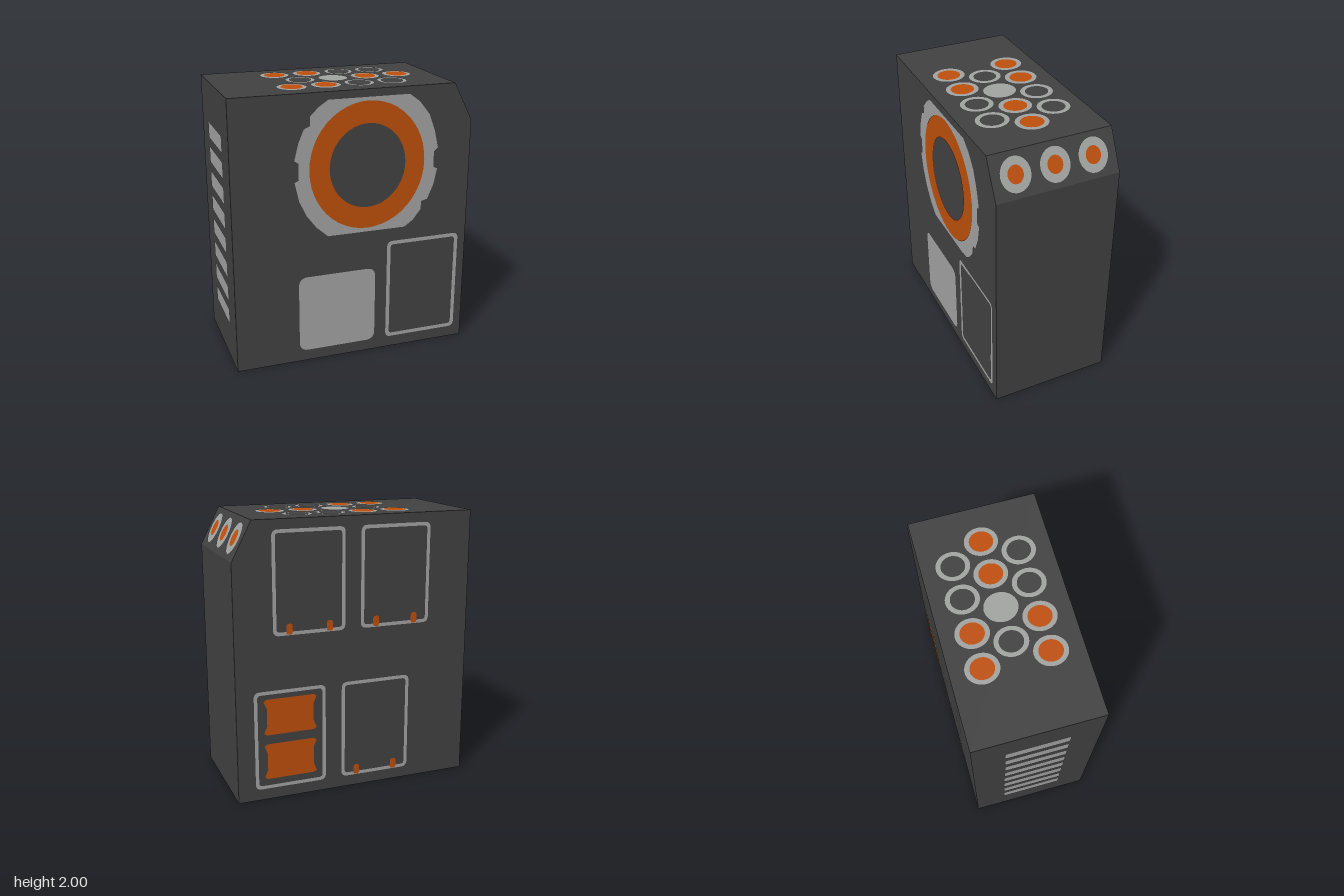
import * as THREE from 'three';

const W = 0.887, H = 2, D = 0.445;
const LIFT = 0.003; // height of painted details above the casing

const mat = (name, color) => {
  const m = new THREE.MeshStandardMaterial({ color });
  m.name = name;
  return m;
};

const poly = (pts) => new THREE.Shape(pts.map(([x, y]) => new THREE.Vector2(x, y)));

function oval(x, y, rx, ry, hole) {
  const s = new THREE.Shape().absellipse(x, y, rx, ry, 0, Math.PI * 2, false);
  if (hole) s.holes.push(new THREE.Path().absellipse(x, y, hole[0], hole[1], 0, Math.PI * 2, true));
  return s;
}

function roundRect(x0, y0, x1, y1, r) {
  const s = new THREE.Shape();
  s.moveTo(x0 + r, y0).lineTo(x1 - r, y0).quadraticCurveTo(x1, y0, x1, y0 + r);
  s.lineTo(x1, y1 - r).quadraticCurveTo(x1, y1, x1 - r, y1);
  s.lineTo(x0 + r, y1).quadraticCurveTo(x0, y1, x0, y1 - r);
  s.lineTo(x0, y0 + r).quadraticCurveTo(x0, y0, x0 + r, y0);
  return s;
}

function frame(x0, y0, x1, y1, t) {
  const s = roundRect(x0, y0, x1, y1, 0.045);
  s.holes.push(roundRect(x0 + t, y0 + t, x1 - t, y1 - t, 0.025));
  return s;
}

export function createModel() {
  const root = new THREE.Group();
  root.name = 'deviceCase';
  const dark = mat('charcoal', 0x424242);
  const gray = mat('lightGray', 0xa3a5a3);
  const orange = mat('burntOrange', 0xc0500c);

  // One group per casing face; local x and y lie in the face, local z points out
  const face = (name, pos, rot) => {
    const g = new THREE.Group();
    g.name = name;
    g.position.set(...pos);
    g.rotation.set(rot[0], rot[1], 0, 'YXZ');
    root.add(g);
    return g;
  };
  const paint = (parent, name, shape, material, lift = LIFT) => {
    const m = new THREE.Mesh(new THREE.ShapeGeometry(shape, 24), material);
    m.name = name;
    m.position.z = lift;
    parent.add(m);
  };

  // Casing with one cut corner
  const outline = poly([[-W, 0], [W, 0], [W, 1.725], [0.745, H], [-W, H]]);
  const caseGeo = new THREE.ExtrudeGeometry(outline, { depth: 2 * D, bevelEnabled: false });
  caseGeo.translate(0, 0, -D);
  const body = new THREE.Mesh(caseGeo, dark);
  body.name = 'casing';
  root.add(body);

  // Front: dial with notched bezel, screen and empty panel frame
  const front = face('frontFace', [0, 0, D], [0, 0]);
  const bezel = poly([
    [-0.195, 1.945], [-0.265, 1.9], [-0.325, 1.84], [-0.325, 1.775], [-0.37, 1.755],
    [-0.41, 1.66], [-0.44, 1.54], [-0.41, 1.52], [-0.41, 1.4], [-0.44, 1.385],
    [-0.41, 1.25], [-0.36, 1.14], [-0.285, 1.04], [-0.2, 0.965], [0.385, 0.965],
    [0.45, 1.01], [0.51, 1.085], [0.515, 1.15], [0.56, 1.16], [0.605, 1.265],
    [0.63, 1.385], [0.6, 1.4], [0.6, 1.515], [0.63, 1.54], [0.6, 1.67],
    [0.555, 1.79], [0.48, 1.885], [0.4, 1.945],
  ]);
  bezel.holes.push(new THREE.Path().absellipse(0.095, 1.458, 0.4, 0.43, 0, Math.PI * 2, true));
  paint(front, 'dialBezel', bezel, gray);
  paint(front, 'dialRing', oval(0.095, 1.458, 0.43, 0.463, [0.283, 0.305]), orange, 2 * LIFT);
  paint(front, 'screen', roundRect(-0.42, 0.085, 0.165, 0.67, 0.07), gray);
  paint(front, 'frontPanelFrame', frame(0.255, 0.085, 0.825, 0.865, 0.028), gray);

  // Top: three staggered rows of round buttons (o = orange, r = ring, g = gray)
  const top = face('topFace', [0, H, 0], [-Math.PI / 2, 0]);
  const rows = [[-0.385, 0.23, 'oorr'], [-0.257, 0.003, 'rgoo'], [-0.385, -0.223, 'oorr']];
  for (const [x0, y, kinds] of rows) {
    [...kinds].forEach((kind, i) => {
      const x = x0 + i * 0.247;
      const hole = kind === 'g' ? null : [0.076, 0.082];
      paint(top, 'buttonRim', oval(x, y, 0.106, 0.115, hole), gray);
      if (kind === 'o') paint(top, 'buttonCap', oval(x, y, 0.076, 0.082), orange);
    });
  }

  // Cut corner: three round ports
  const slope = face('cutCorner', [0.816, 1.8625, 0], [-Math.atan2(0.142, 0.275), Math.PI / 2]);
  for (const x of [-0.278, 0, 0.276]) {
    paint(slope, 'portRim', oval(x, 0, 0.106, 0.117, [0.055, 0.061]), gray);
    paint(slope, 'portCore', oval(x, 0, 0.055, 0.061), orange);
  }

  // Back: four framed panels (local x runs towards the model's right)
  const back = face('backFace', [0, 0, -D], [0, Math.PI]);
  const panels = [[-0.346, 1.2, true], [0.302, 1.2, true], [-0.495, 0.083, false], [0.158, 0.083, true]];
  for (const [x, y, hasClips] of panels) {
    paint(back, 'panelFrame', frame(x - 0.265, y, x + 0.265, y + 0.73, 0.025), gray);
    if (hasClips) {
      // Small clips on the lower edge
      for (const s of [-1, 1]) {
        const cx = x + s * 0.148;
        paint(back, 'panelClip', roundRect(cx - 0.023, y + 0.005, cx + 0.023, y + 0.082, 0.02), orange, 2 * LIFT);
      }
    } else {
      // Pair of plates with pinched sides
      for (const y0 of [y + 0.073, y + 0.405]) {
        const y1 = y0 + 0.265, a = 0.195, b = 0.172;
        paint(back, 'pinchedPlate', poly([
          [x - a, y0 + 0.015], [x - a + 0.02, y0], [x + a - 0.02, y0], [x + a, y0 + 0.015],
          [x + b, y0 + 0.07], [x + b, y1 - 0.07], [x + a, y1 - 0.015], [x + a - 0.02, y1],
          [x - a + 0.02, y1], [x - a, y1 - 0.015], [x - b, y1 - 0.07], [x - b, y0 + 0.07],
        ]), orange);
      }
    }
  }

  // Side: stack of vent slats
  const side = face('ventFace', [-W, 0, 0], [0, -Math.PI / 2]);
  for (let i = 0; i < 8; i++) {
    const y = 0.278 + i * 0.186;
    paint(side, 'ventSlat', roundRect(-0.222, y, 0.228, y + 0.122, 0.02), gray);
  }

  return root;
}
